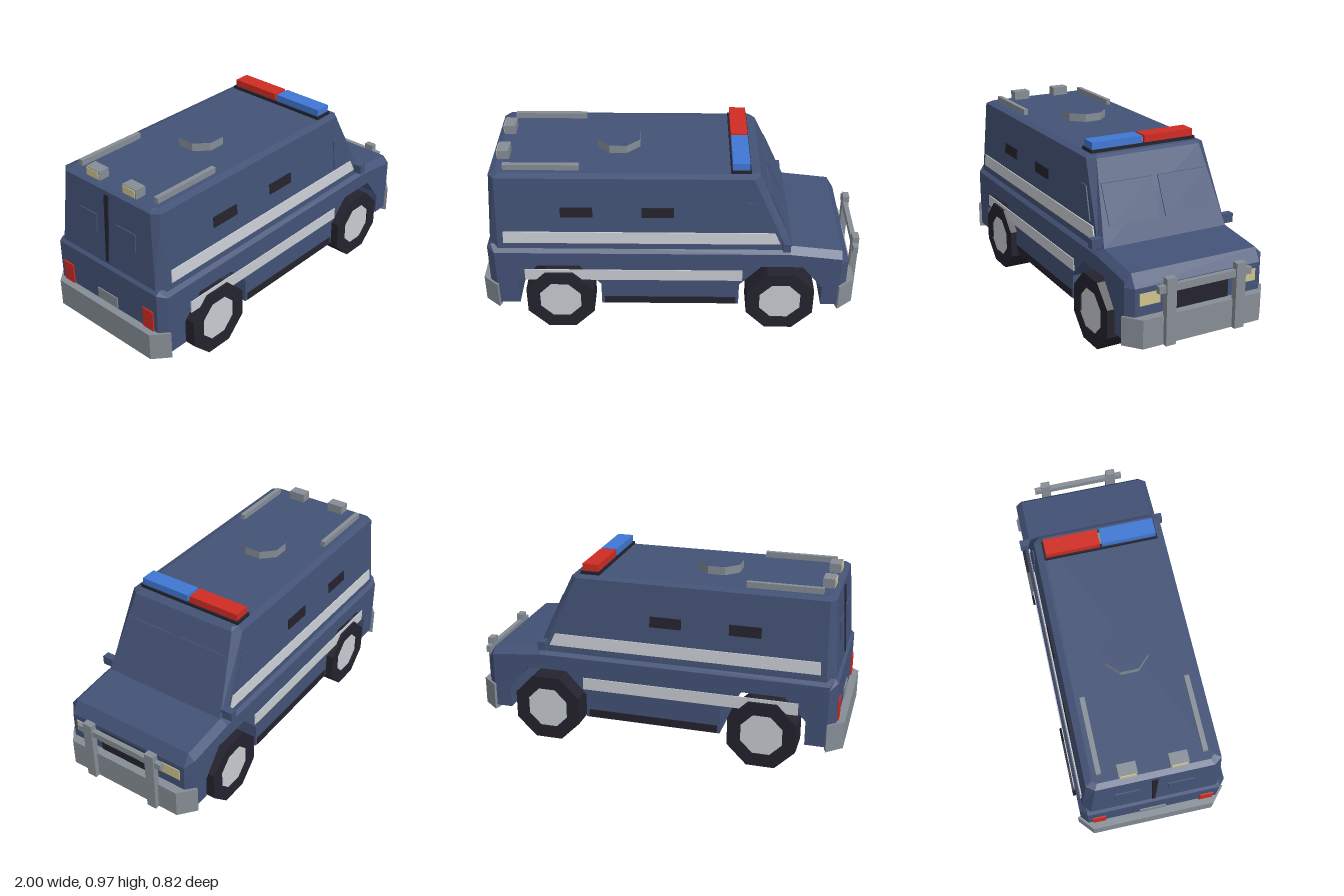
import * as THREE from 'three';

const mat = (name, color) => {
  const m = new THREE.MeshStandardMaterial({ color });
  m.name = name;
  return m;
};

const lerpAt = (y, y0, v0, y1, v1) => v0 + (v1 - v0) * (y - y0) / (y1 - y0);
// Cabin wall positions at height y
const sideZ = y => lerpAt(y, 0.515, 0.365, 0.91, 0.335);
const frontX = y => lerpAt(y, 0.515, 0.63, 0.91, 0.45);
const rearX = y => lerpAt(y, 0.515, -0.945, 0.91, -0.92);

const shapeOf = pts => new THREE.Shape(pts.map(p => new THREE.Vector2(p[0], p[1])));
const rect = (a0, a1, b0, b1) => [[a0, b0], [a1, b0], [a1, b1], [a0, b1]];
const octagon = r => Array.from({ length: 8 }, (_, i) => {
  const a = Math.PI / 8 + i * Math.PI / 4;
  return [r * Math.cos(a), r * Math.sin(a)];
});
const extrude = (shape, depth, steps = 1) =>
  new THREE.ExtrudeGeometry(shape, { depth, steps, bevelEnabled: false });

// Move every vertex by a rule, then rebuild the flat normals
function warp(geo, rule) {
  const p = geo.attributes.position, v = new THREE.Vector3();
  for (let i = 0; i < p.count; i++) {
    rule(v.fromBufferAttribute(p, i));
    p.setXYZ(i, v.x, v.y, v.z);
  }
  geo.computeVertexNormals();
  return geo;
}

// Skin a stack of rings (counterclockwise from above) and cap the top
function loft(rings) {
  const out = [];
  const n = rings[0].length;
  for (let r = 0; r < rings.length - 1; r++) {
    for (let i = 0; i < n; i++) {
      const j = (i + 1) % n, lo = rings[r], hi = rings[r + 1];
      out.push(...lo[i], ...lo[j], ...hi[j], ...lo[i], ...hi[j], ...hi[i]);
    }
  }
  const top = rings[rings.length - 1];
  for (let i = 1; i < n - 1; i++) out.push(...top[0], ...top[i], ...top[i + 1]);
  const geo = new THREE.BufferGeometry();
  geo.setAttribute('position', new THREE.Float32BufferAttribute(out, 3));
  geo.computeVertexNormals();
  return geo;
}

export function createModel() {
  const root = new THREE.Group();
  root.name = 'armoredVan';
  const navy = mat('navy paint', 0x435276);
  const gray = mat('gray metal', 0x868d95);
  const dark = mat('dark rubber', 0x24232e);
  const pale = mat('pale silver', 0xc8ccd2);
  const blue = mat('blue light', 0x3f78d4);
  const red = mat('red light', 0xd02c22);
  const cream = mat('cream lamp', 0xcfc48f);

  const add = (name, geo, material) => {
    const m = new THREE.Mesh(geo, material);
    m.name = name;
    root.add(m);
    return m;
  };
  const box = (name, material, x0, x1, y0, y1, z0, z1) => {
    const m = add(name, new THREE.BoxGeometry(x1 - x0, y1 - y0, z1 - z0), material);
    m.position.set((x0 + x1) / 2, (y0 + y1) / 2, (z0 + z1) / 2);
    return m;
  };
  // Thin plates following the cabin walls
  const T = 0.006;
  const sidePlate = (name, material, pts, s) => add(name,
    warp(extrude(shapeOf(pts), T), v => { v.z = s > 0 ? v.z + sideZ(v.y) : v.z - T - sideZ(v.y); }), material);
  const endPlate = (name, material, pts, front) => add(name,
    warp(extrude(shapeOf(pts), T).rotateY(front ? Math.PI / 2 : -Math.PI / 2),
      v => { v.x += front ? frontX(v.y) : rearX(v.y); }), material);

  // Lower body with wheel arches cut through and chamfered outer edges
  const arch = cx => [[-0.22, 0.15], [-0.22, 0.28], [-0.11, 0.4], [0.11, 0.4], [0.22, 0.28], [0.22, 0.15]]
    .map(([x, y]) => [x + cx, y]);
  const profile = [[-0.96, 0.15], ...arch(-0.59), ...arch(0.58), [0.93, 0.15], [0.93, 0.42],
    [0.89, 0.485], [0.62, 0.515], [-0.94, 0.515], [-0.96, 0.495]];
  add('lowerBody', warp(extrude(shapeOf(profile), 3, 3), v => {
    const layer = Math.round(v.z);
    v.z = [-0.385, -0.35, 0.35, 0.385][layer];
    if (layer === 0 || layer === 3) {
      if (v.y > 0.45) v.y -= 0.035;
      v.x = Math.max(-0.92, Math.min(0.89, v.x));
    }
  }), navy);

  // Cabin
  const ring = (y, xf, xfs, zf, zs, xr, xrs, zr) => [[xf, y, -zf], [xfs, y, -zs], [xrs, y, -zs], [xr, y, -zr],
    [xr, y, zr], [xrs, y, zs], [xfs, y, zs], [xf, y, zf]];
  add('cabin', loft([
    ring(0.48, 0.646, 0.61, 0.354, 0.3675, -0.947, -0.901, 0.333),
    ring(0.515, 0.63, 0.595, 0.35, 0.365, -0.945, -0.9, 0.33),
    ring(0.91, 0.45, 0.415, 0.295, 0.335, -0.92, -0.89, 0.295),
    ring(0.922, 0.43, 0.4, 0.28, 0.3, -0.89, -0.87, 0.28),
  ]), navy);

  // Windshield panes, rear door seam and rear windows
  for (const s of [-1, 1]) {
    const span = (a, b) => (s > 0 ? [a, b] : [-b, -a]);
    endPlate('windshieldPane', navy, rect(...span(0.017, 0.3), 0.605, 0.798), true);
    endPlate('rearWindow', navy, rect(...span(0.07, 0.2), 0.66, 0.76), false);
  }
  endPlate('rearDoorSeam', dark, [[-0.008, 0.525], [0.008, 0.525], [0.015, 0.89], [-0.015, 0.89]], false);

  for (const s of [-1, 1]) {
    const zBox = (name, material, x0, x1, y0, y1, a, b) =>
      box(name, material, x0, x1, y0, y1, s > 0 ? a : -b, s > 0 ? b : -a);

    // Side trim
    sidePlate('upperStripe', pale, [[-0.87, 0.535], [0.565, 0.535], [0.535, 0.6], [-0.865, 0.6]], s);
    sidePlate('sideWindow', navy, [[0.385, 0.615], [0.505, 0.615], [0.44, 0.78], [0.385, 0.78]], s);
    for (const x of [-0.565, -0.15]) sidePlate('sideSlot', dark, rect(x, x + 0.165, 0.69, 0.745), s);
    zBox('lowerStripe', pale, -0.77, 0.375, 0.31, 0.375, 0.384, 0.39);
    zBox('sill', dark, -0.355, 0.345, 0.153, 0.195, 0.383, 0.389);
    zBox('mirror', navy, 0.575, 0.615, 0.515, 0.563, 0.345, 0.408);

    // Wheels: octagonal tyre ring around a hub
    for (const x of [-0.59, 0.58]) {
      const tyre = shapeOf(octagon(0.193));
      tyre.holes.push(new THREE.Path(octagon(0.118).reverse().map(p => new THREE.Vector2(...p))));
      add('tyre', extrude(tyre, 0.167), dark).position.set(x, 0.1785, s > 0 ? 0.235 : -0.402);
      const hub = extrude(shapeOf(octagon(0.119)), 0.09);
      add('hub', hub, pale).position.set(x, 0.1785, s > 0 ? 0.305 : -0.395);
    }

    // Lamps and bull bar posts
    zBox('headlight', cream, 0.926, 0.934, 0.33, 0.392, 0.215, 0.325);
    zBox('tailLight', red, -0.967, -0.955, 0.275, 0.39, 0.255, 0.325);
    zBox('bullBarPost', gray, 0.965, 1, 0.13, 0.47, 0.167, 0.22);

    // Roof rails and rear roof lamps
    zBox('roofRail', gray, -0.85, -0.465, 0.915, 0.952, 0.25, 0.275);
    zBox('roofLamp', gray, -0.89, -0.83, 0.915, 0.97, 0.08, 0.173);
    zBox('roofLampLens', cream, -0.894, -0.889, 0.928, 0.966, 0.086, 0.167);
  }

  // Front and rear bumpers, wrapped around the corners
  const bumper = (name, xIn, xCorner, xOut) => {
    const geo = extrude(shapeOf([[xIn, 0.37], [xCorner, 0.4], [xOut, 0.33],
      [xOut, -0.33], [xCorner, -0.4], [xIn, -0.37]]), 0.148);
    add(name, geo.rotateX(-Math.PI / 2), gray).position.y = 0.13;
  };
  bumper('frontBumper', 0.88, 0.89, 0.975);
  bumper('rearBumper', -0.91, -0.92, -1);

  // Grille, crossbar and rear plate
  box('grille', dark, 0.927, 0.933, 0.27, 0.4, -0.167, 0.167);
  box('bullBarCross', gray, 0.967, 0.993, 0.4, 0.436, -0.258, 0.258);
  box('rearPlate', gray, -0.966, -0.958, 0.285, 0.345, -0.07, 0.07);

  // Roof light bar
  box('lightBarBase', dark, 0.3, 0.402, 0.915, 0.938, -0.298, 0.298);
  box('lightBarJoint', gray, 0.325, 0.38, 0.935, 0.962, -0.008, 0.01);
  box('blueBeacon', blue, 0.308, 0.395, 0.938, 0.975, 0.007, 0.29);
  box('redBeacon', red, 0.308, 0.395, 0.938, 0.975, -0.288, -0.005);

  // Roof hatch
  const hatch = add('roofHatch', new THREE.CylinderGeometry(0.12, 0.12, 0.05, 8).rotateY(Math.PI / 8).toNonIndexed(),
    [gray, navy, navy]);
  hatch.geometry.computeVertexNormals();
  hatch.position.set(-0.275, 0.94, -0.005);

  return root;
}
